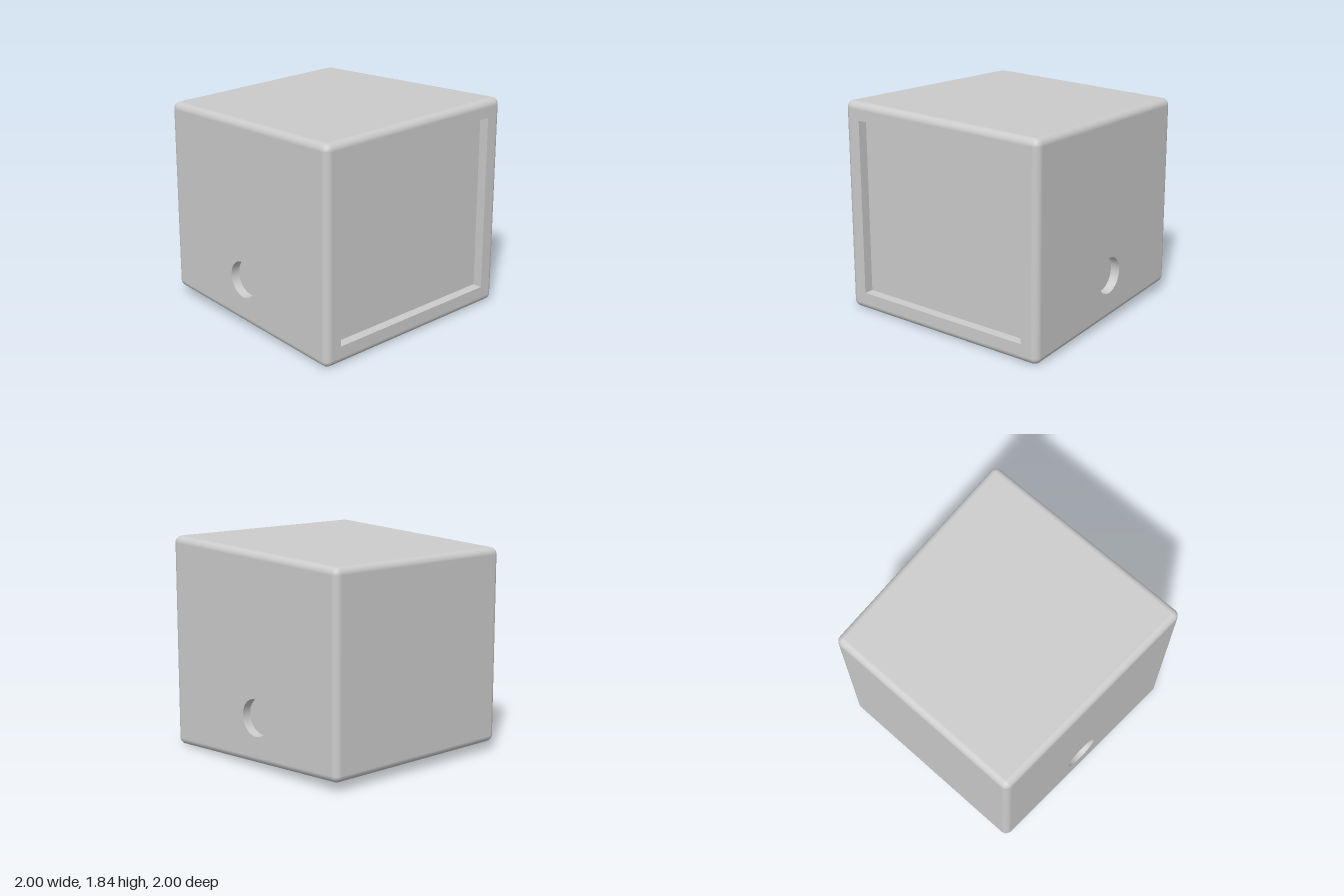
import * as THREE from 'three';

const R = 0.06, TAPER = 0.04, MID_Y = 0.92, STEPS = 8;
const SIGNS = [-1, 1];
const V = (x, y, z) => new THREE.Vector3(x, y, z);

// Centre of the rounding sphere at each corner of the tapered box
function corner(s) {
  const z = s[2] * (1 - R), grow = TAPER * z - R * Math.hypot(1, TAPER);
  return V(s[0] * (0.9625 + grow), MID_Y + s[1] * (0.8825 + grow), z);
}

// Outward normal of the face on the given axis and side
function faceNormal(axis, sign) {
  const n = V(0, 0, axis === 2 ? sign : -TAPER);
  if (axis !== 2) n.setComponent(axis, sign);
  return n.normalize();
}

// Triangle collector that turns every triangle to agree with its normals
function collector() {
  const pos = [], nor = [];
  const tri = (...verts) => {
    const [a, b, c] = verts.map(v => v.p);
    const g = b.clone().sub(a).cross(c.clone().sub(a));
    const order = g.dot(verts[0].n) < 0 ? [0, 2, 1] : [0, 1, 2];
    for (const i of order) {
      pos.push(...verts[i].p.toArray());
      nor.push(...verts[i].n.toArray());
    }
  };
  const quad = (a, b, c, d) => { tri(a, b, c); tri(a, c, d); };
  const geometry = () => {
    const g = new THREE.BufferGeometry();
    g.setAttribute('position', new THREE.Float32BufferAttribute(pos, 3));
    g.setAttribute('normal', new THREE.Float32BufferAttribute(nor, 3));
    return g;
  };
  return { tri, quad, geometry };
}

// Quarter-round edges and ball corners
function roundedEdges() {
  const out = collector();
  const at = (c, n) => ({ p: c.clone().addScaledVector(n, R), n });
  for (let k = 0; k < 3; k++) {
    const i = (k + 1) % 3, j = (k + 2) % 3;
    for (const si of SIGNS) for (const sj of SIGNS) {
      const s = [0, 0, 0];
      s[i] = si; s[j] = sj;
      s[k] = -1; const c0 = corner(s);
      s[k] = 1; const c1 = corner(s);
      const a = faceNormal(i, si), b = faceNormal(j, sj);
      for (let t = 0; t < STEPS; t++) {
        const n0 = a.clone().lerp(b, t / STEPS).normalize();
        const n1 = a.clone().lerp(b, (t + 1) / STEPS).normalize();
        out.quad(at(c0, n0), at(c1, n0), at(c1, n1), at(c0, n1));
      }
    }
  }
  for (const sx of SIGNS) for (const sy of SIGNS) for (const sz of SIGNS) {
    const c = corner([sx, sy, sz]);
    const [a, b, d] = [sx, sy, sz].map((s, axis) => faceNormal(axis, s));
    const pt = (i, j) => at(c, V(0, 0, 0).addScaledVector(a, STEPS - i - j)
      .addScaledVector(b, i).addScaledVector(d, j).normalize());
    for (let i = 0; i < STEPS; i++) for (let j = 0; j < STEPS - i; j++) {
      out.tri(pt(i, j), pt(i + 1, j), pt(i, j + 1));
      if (i + j < STEPS - 1) out.tri(pt(i + 1, j), pt(i + 1, j + 1), pt(i, j + 1));
    }
  }
  return out.geometry();
}

// Walls of a recess, facing its middle; smooth for a round outline
function recessWalls(points, centre, depth, smooth) {
  const out = collector();
  const v = (p, z, n) => ({ p: V(p.x, p.y, z), n });
  points.forEach((p, i) => {
    const q = points[(i + 1) % points.length];
    const flat = V(p.y - q.y, q.x - p.x, 0).normalize();
    const inward = o => smooth ? V(centre.x - o.x, centre.y - o.y, 0).normalize() : flat;
    const np = inward(p), nq = inward(q);
    out.quad(v(p, 0, np), v(q, 0, nq), v(q, -depth, nq), v(p, -depth, np));
  });
  return out.geometry();
}

export function createModel() {
  const model = new THREE.Group();
  const material = new THREE.MeshStandardMaterial({ color: 0xcccccc });
  const add = (parent, name, geometry) => {
    const mesh = new THREE.Mesh(geometry, material);
    mesh.name = name;
    parent.add(mesh);
    return mesh;
  };

  // One flat side of the case, optionally with a recess cut into it
  function panel(name, axis, sign, recess) {
    const n = faceNormal(axis, sign);
    const u = (axis === 1 ? V(0, 0, 1) : V(0, 1, 0)).cross(n).normalize();
    const w = n.clone().cross(u);
    const i = (axis + 1) % 3, j = (axis + 2) % 3;
    const corners = [[-1, -1], [1, -1], [1, 1], [-1, 1]].map(([a, b]) => {
      const s = [0, 0, 0];
      s[axis] = sign; s[i] = a; s[j] = b;
      return corner(s).addScaledVector(n, R);
    });
    const origin = corners[0];
    const local = p => {
      const d = p.clone().sub(origin);
      return new THREE.Vector2(d.dot(u), d.dot(w));
    };
    const group = new THREE.Group();
    group.name = name;
    new THREE.Matrix4().makeBasis(u, w, n).setPosition(origin)
      .decompose(group.position, group.quaternion, group.scale);
    const shape = new THREE.Shape(corners.map(local));
    if (recess) {
      const c = local(recess.centre);
      const points = recess.outline.map(p => p.clone().add(c));
      shape.holes.push(new THREE.Path(points));
      add(group, recess.name + 'Wall', recessWalls(points, c, recess.depth, recess.smooth));
      add(group, recess.name + 'Floor', new THREE.ShapeGeometry(new THREE.Shape(points)))
        .position.z = -recess.depth;
    }
    add(group, name + 'Face', new THREE.ShapeGeometry(shape));
    model.add(group);
  }

  // Wide rectangular recess in the front
  const front = {
    name: 'frontRecess', depth: 0.085, centre: V(0, 0.923, 1),
    outline: [[-1, -1], [1, -1], [1, 1], [-1, 1]]
      .map(([x, y]) => new THREE.Vector2(x * 0.845, y * 0.766)),
  };
  // Round blind hole in each side
  const sideHole = sign => ({
    name: 'sideHole', depth: 0.08, smooth: true, centre: V(sign * 0.96, 0.43, -0.055),
    outline: Array.from({ length: 64 }, (_, k) => {
      const a = k / 64 * Math.PI * 2;
      return new THREE.Vector2(0.158 * Math.cos(a), 0.158 * Math.sin(a));
    }),
  });

  add(model, 'roundedEdges', roundedEdges());
  panel('frontPanel', 2, 1, front);
  panel('backPanel', 2, -1);
  panel('topPanel', 1, 1);
  panel('bottomPanel', 1, -1);
  panel('leftPanel', 0, 1, sideHole(1));
  panel('rightPanel', 0, -1, sideHole(-1));
  return model;
}
